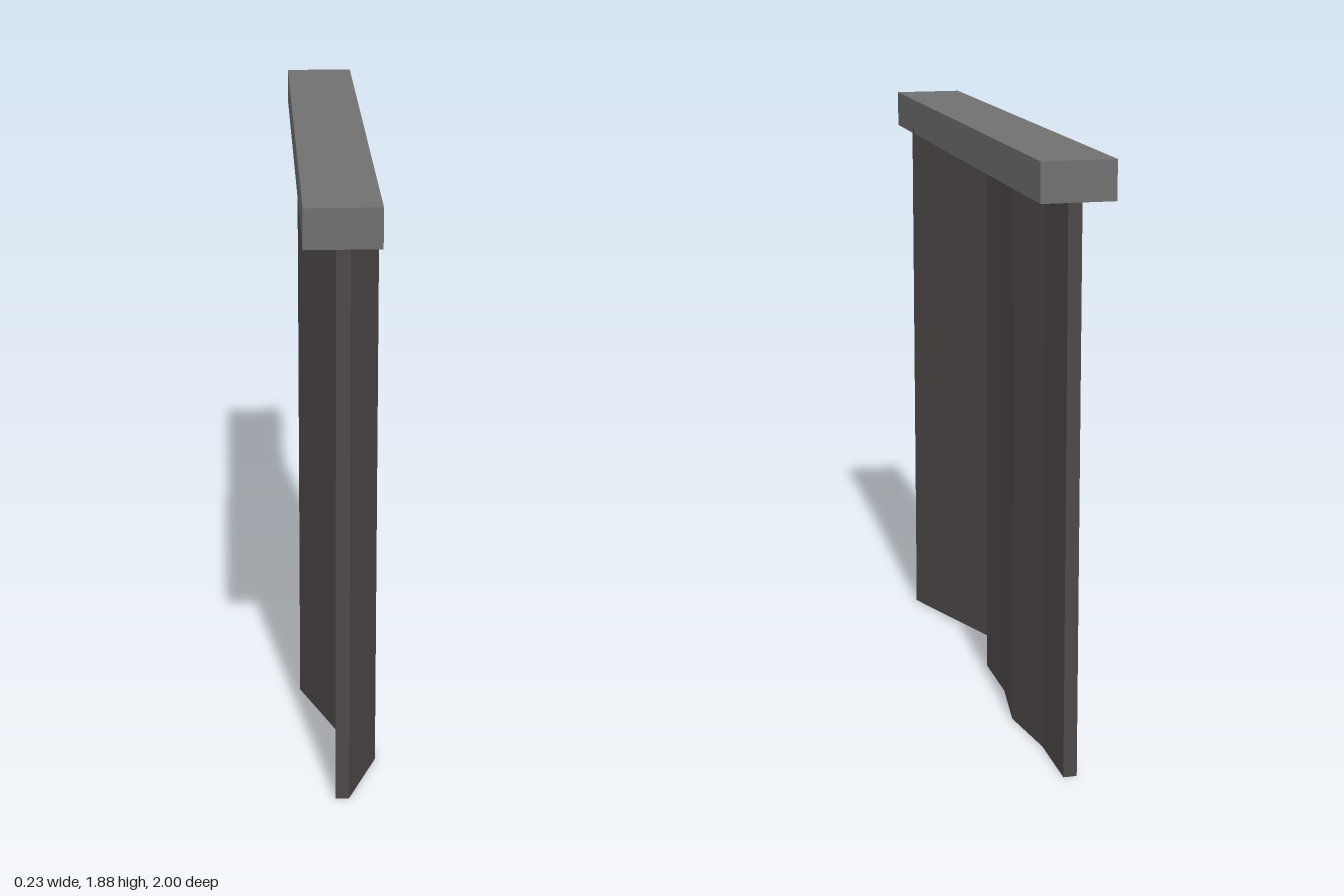
import * as THREE from 'three';

export function createModel() {
  const model = new THREE.Group();

  // Top rail
  const rail = new THREE.Mesh(
    new THREE.BoxGeometry(0.226, 0.12, 2),
    new THREE.MeshStandardMaterial({ color: 0x707070 })
  );
  rail.name = 'rail';
  rail.position.set(-0.002, 1.82, 0);
  model.add(rail);

  // Folded curtain: sideways offset of each fold, evenly spaced from front to back
  const folds = [0, 0.094, 0.002, -0.09, 0, 0, 0.035, 0, 0];
  const halfThickness = 0.021;
  const halfLength = 0.97;
  const height = 1.78;
  const points = folds.map((x, i) =>
    new THREE.Vector2(x, -halfLength + (2 * halfLength * i) / (folds.length - 1)));
  const side = (offset) => points.map((p) => new THREE.Vector2(p.x + offset, p.y));
  const outline = new THREE.Shape([...side(halfThickness), ...side(-halfThickness).reverse()]);

  // Extrude the plan upward; shape y becomes -z
  const cloth = new THREE.ExtrudeGeometry(outline, { depth: height, bevelEnabled: false });
  cloth.rotateX(-Math.PI / 2);
  const curtain = new THREE.Mesh(
    cloth,
    new THREE.MeshStandardMaterial({ color: 0x4e4848, flatShading: true })
  );
  curtain.name = 'curtain';
  model.add(curtain);

  return model;
}
